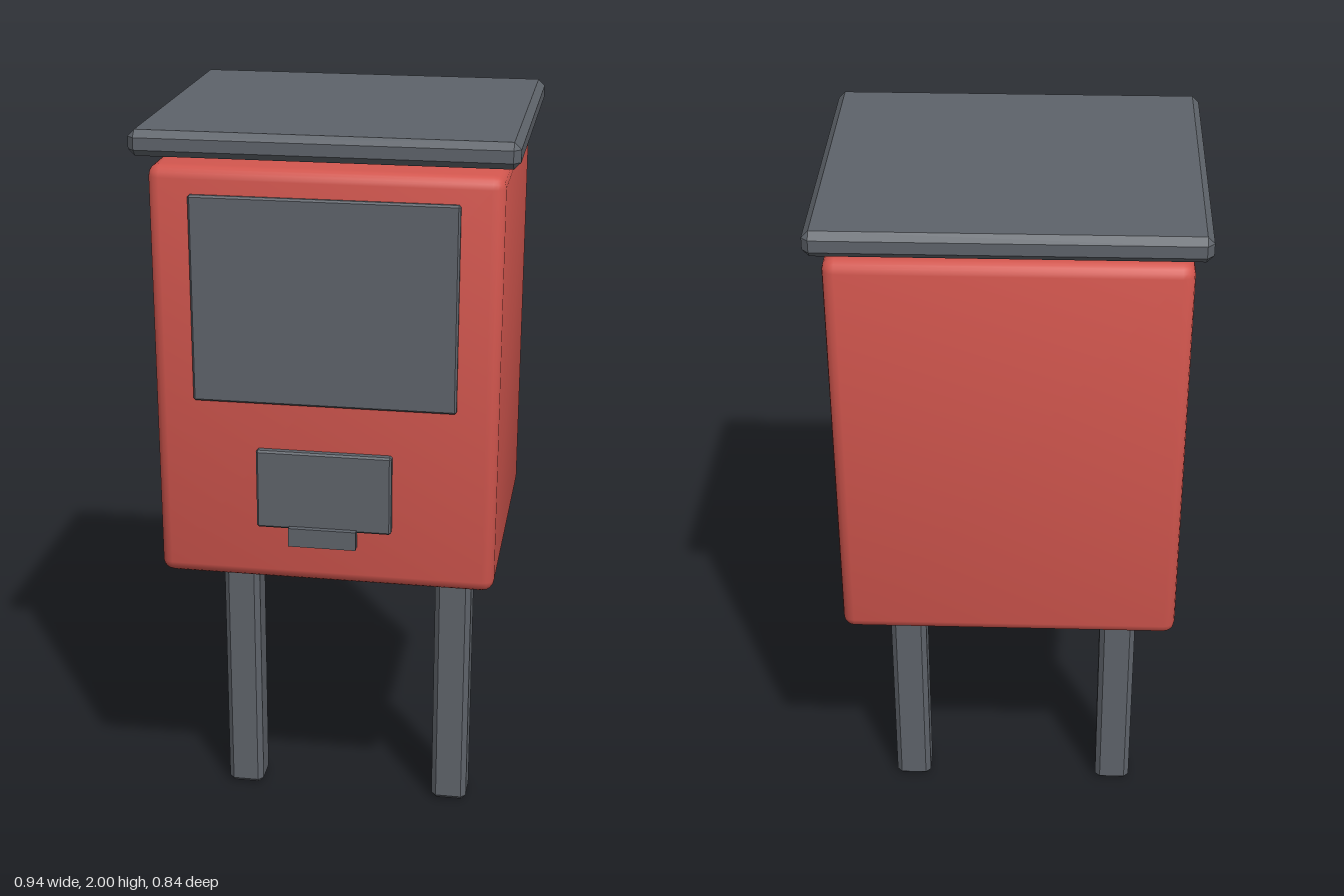
import * as THREE from 'three';
import { ConvexGeometry } from 'three/addons/geometries/ConvexGeometry.js';
import { RoundedBoxGeometry } from 'three/addons/geometries/RoundedBoxGeometry.js';

// Box with every edge cut flat by c
function chamferBox(w, h, d, c) {
  const half = [w / 2, h / 2, d / 2];
  const points = [];
  for (const sx of [-1, 1]) for (const sy of [-1, 1]) for (const sz of [-1, 1]) {
    for (let axis = 0; axis < 3; axis++) {
      const p = half.map((v, i) => (i === axis ? v : v - c));
      points.push(new THREE.Vector3(p[0] * sx, p[1] * sy, p[2] * sz));
    }
  }
  return new ConvexGeometry(points);
}

// Rounded box whose normals lean outward for soft shading across the faces
function softBox(w, h, d, r) {
  const geometry = new RoundedBoxGeometry(w, h, d, 2, r);
  const pos = geometry.attributes.position;
  const normal = geometry.attributes.normal;
  const n = new THREE.Vector3();
  for (let i = 0; i < pos.count; i++) {
    n.fromBufferAttribute(normal, i);
    n.x += 0.16 * Math.sign(pos.getX(i));
    n.y += 0.16 * Math.sign(pos.getY(i));
    n.z += 0.16 * Math.sign(pos.getZ(i));
    n.normalize();
    normal.setXYZ(i, n.x, n.y, n.z);
  }
  return geometry;
}

export function createModel() {
  const red = new THREE.MeshStandardMaterial({ color: 0xd2564e });
  red.name = 'red paint';
  const grey = new THREE.MeshStandardMaterial({ color: 0x5e636a });
  grey.name = 'dark grey metal';

  const model = new THREE.Group();
  model.name = 'postBox';
  const add = (name, geometry, material, x, y, z) => {
    const mesh = new THREE.Mesh(geometry, material);
    mesh.name = name;
    mesh.position.set(x, y, z);
    model.add(mesh);
  };

  // Cabinet and the roof slab floating just above it
  add('cabinet', softBox(0.87, 1.08, 0.77, 0.03), red, 0, 1.37, 0);
  add('roof', chamferBox(0.942, 0.064, 0.838, 0.017), grey, 0, 1.968, 0);

  // Front fittings
  add('displayPanel', chamferBox(0.664, 0.526, 0.024, 0.005), grey, 0, 1.58, 0.384);
  add('hatch', chamferBox(0.346, 0.21, 0.03, 0.005), grey, 0, 1.09, 0.39);
  add('hatchHandle', new THREE.BoxGeometry(0.174, 0.05, 0.03), grey, -0.002, 0.968, 0.405);

  // Two posts
  for (const side of [-1, 1]) {
    add(side < 0 ? 'rightLeg' : 'leftLeg', chamferBox(0.1, 0.785, 0.1, 0.014), grey, side * 0.298, 0.3925, 0);
  }
  return model;
}
